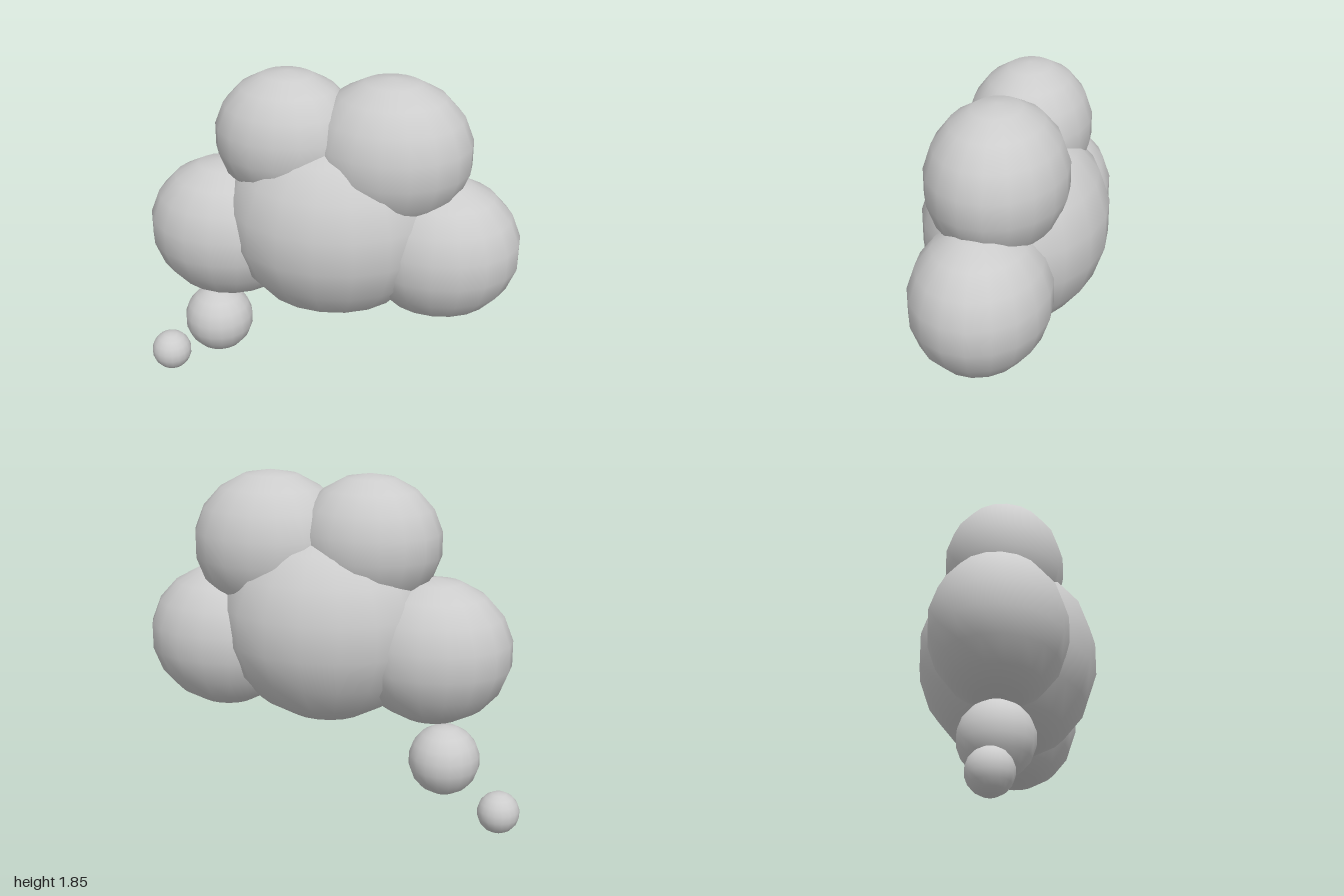
import * as THREE from 'three';

export function createModel() {
  const group = new THREE.Group();
  group.name = 'thoughtCloud';
  const grey = new THREE.MeshStandardMaterial({ color: 0xcccccc });
  grey.name = 'cloud grey';

  // Shared low-poly smooth ball, with its corners on the z axis
  const ball = new THREE.SphereGeometry(1, 18, 9).rotateY(Math.PI / 2);

  function puff(name, x, y, rx, ry = rx, rz = rx) {
    const mesh = new THREE.Mesh(ball, grey);
    mesh.name = name;
    mesh.position.set(x, y, 0);
    mesh.scale.set(rx, ry, rz);
    group.add(mesh);
  }

  // Cloud body
  puff('centerPuff', 0.04, 1.08, 0.565, 0.523, 0.475);
  puff('lowerRightPuff', -0.523, 0.967, 0.41, 0.38, 0.348);
  puff('lowerLeftPuff', 0.6, 0.967, 0.411, 0.38, 0.348);
  puff('upperRightPuff', -0.187, 1.508, 0.372, 0.345, 0.316);
  puff('upperLeftPuff', 0.335, 1.473, 0.411, 0.38, 0.348);

  // Trailing bubbles
  puff('largeBubble', -0.598, 0.378, 0.187);
  puff('smallBubble', -0.893, 0.112, 0.111);

  return group;
}
